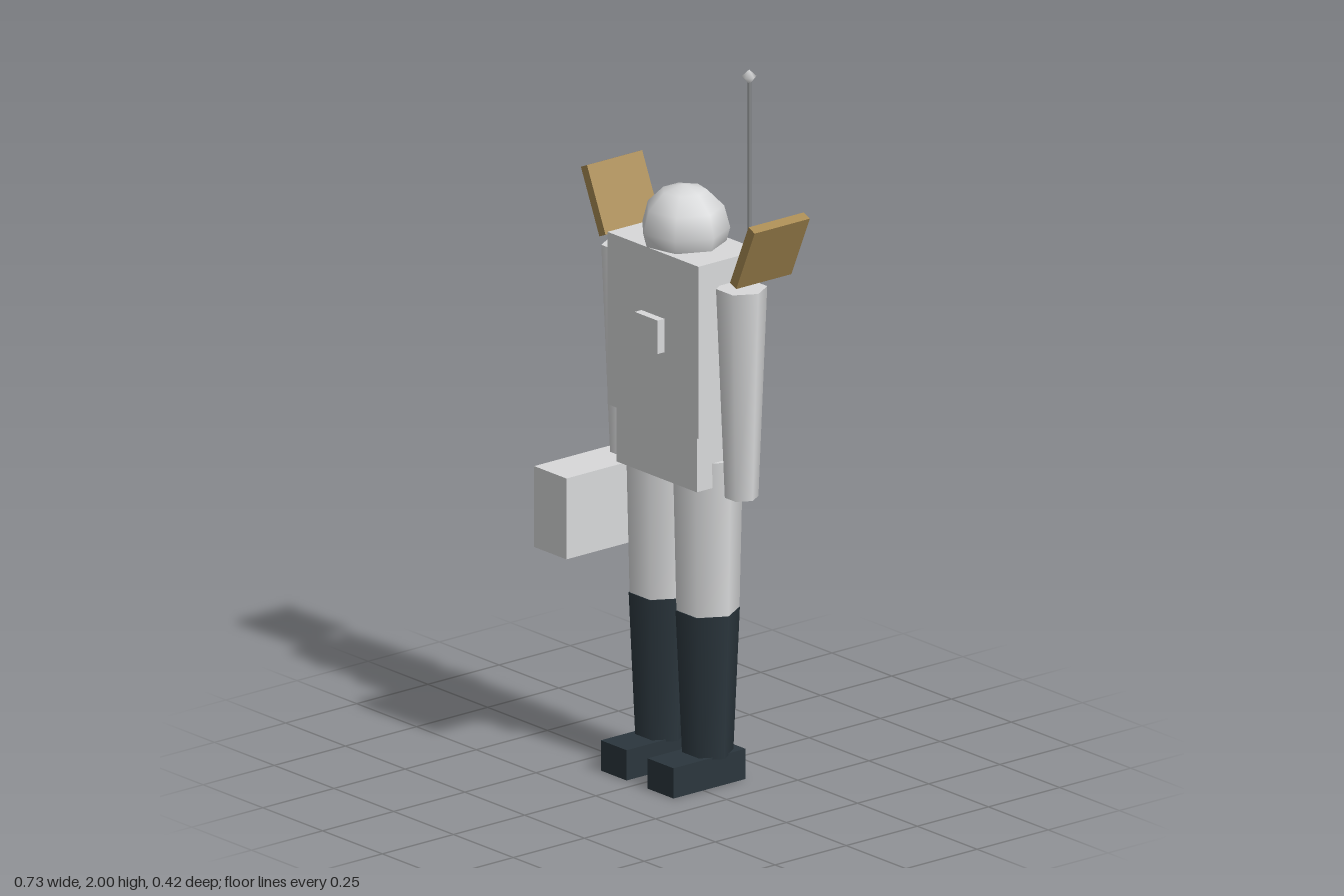
import * as THREE from 'three';

export function createModel() {
  const group = new THREE.Group();
  const material = (name, color) => {
    const m = new THREE.MeshStandardMaterial({ color });
    m.name = name;
    return m;
  };
  const suit = material('suitGrey', 0xd8d9da);
  const boots = material('bootSlate', 0x2b363d);
  const gold = material('panelGold', 0xa88a52);
  const red = material('labelRed', 0xb32d22);
  const metal = material('antennaGrey', 0x8a8d8f);

  const add = (name, geometry, mat, x, y, z) => {
    const mesh = new THREE.Mesh(geometry, mat);
    mesh.name = name;
    mesh.position.set(x, y, z);
    group.add(mesh);
    return mesh;
  };
  // Box given by its minimum and maximum corners
  const box = (name, mat, [x0, y0, z0], [x1, y1, z1]) =>
    add(name, new THREE.BoxGeometry(x1 - x0, y1 - y0, z1 - z0), mat,
      (x0 + x1) / 2, (y0 + y1) / 2, (z0 + z1) / 2);
  // Six-sided tapered limb with corners pointing sideways
  const limb = (name, mat, rTop, rBottom, yTop, yBottom, x, z) =>
    add(name, new THREE.CylinderGeometry(rTop, rBottom, yTop - yBottom, 6).rotateY(Math.PI / 2),
      mat, x, (yTop + yBottom) / 2, z);

  const bodyZ = -0.061;

  // Body
  box('torso', suit, [-0.19, 1.02, -0.168], [0.19, 1.51, 0.049]);
  box('pelvis', suit, [-0.168, 0.86, -0.16], [0.168, 1.02, 0.036]);
  box('chestUnit', suit, [-0.048, 1.23, 0.045], [0.048, 1.325, 0.073]);

  // Low-poly rounded helmet
  add('helmet', new THREE.SphereGeometry(0.124, 7, 6).rotateY(Math.PI), suit, 0, 1.548, bodyZ);

  // Mirrored limbs and shoulder panels
  for (const [side, s] of [['left', 1], ['right', -1]]) {
    limb(side + 'Arm', suit, 0.07, 0.046, 1.44, 0.845, s * 0.24, bodyZ);
    limb(side + 'Leg', suit, 0.096, 0.086, 0.93, 0.48, s * 0.098, bodyZ - 0.001);
    limb(side + 'Boot', boots, 0.088, 0.07, 0.49, 0.08, s * 0.098, bodyZ);
    add(side + 'Foot', new THREE.BoxGeometry(0.108, 0.086, 0.253), boots, s * 0.098, 0.043, -0.022);
    const panel = add(side + 'ShoulderPanel', new THREE.BoxGeometry(0.028, 0.194, 0.194),
      gold, s * 0.312, 1.555, -0.1);
    panel.rotation.z = -s * 0.41;
  }

  // Antenna behind the left shoulder
  add('antennaRod', new THREE.CylinderGeometry(0.006, 0.006, 0.5, 5), metal, 0.118, 1.73, -0.19);
  add('antennaTip', new THREE.SphereGeometry(0.021, 5, 2).rotateY(Math.PI), suit, 0.118, 1.979, -0.19);

  // Carried case with a coloured plate on its outer side
  box('carryCase', suit, [-0.303, 0.62, -0.12], [-0.168, 0.85, 0.212]);
  box('casePlate', red, [-0.312, 0.706, 0.007], [-0.303, 0.802, 0.103]);

  return group;
}
